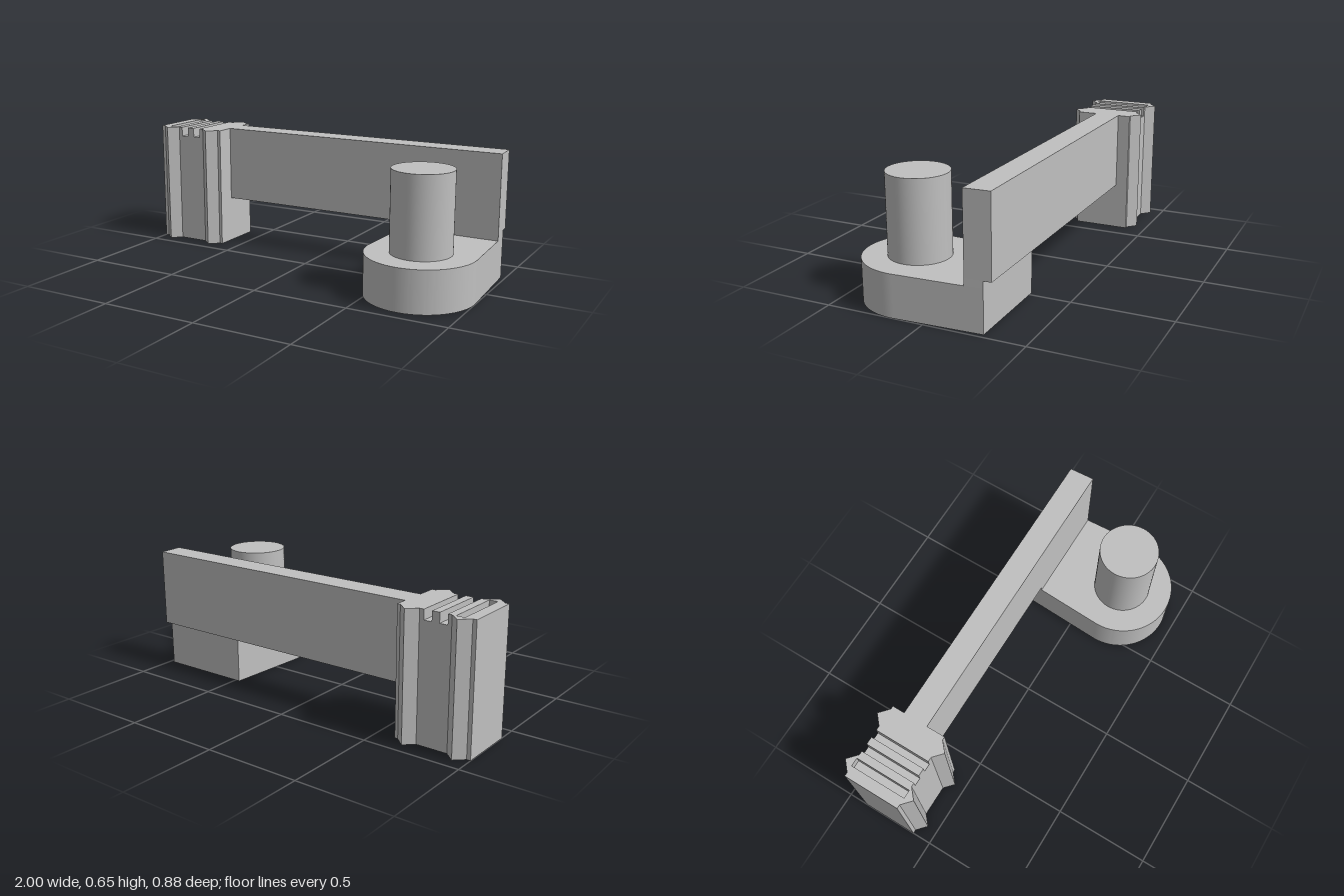
import * as THREE from 'three';
import { toCreasedNormals } from 'three/addons/utils/BufferGeometryUtils.js';

const grey = new THREE.MeshStandardMaterial({ color: 0xc0c0c0 });
grey.name = 'plain grey';

// Plan outline from [x, z] points; shape y is -z.
const plan = (points) => new THREE.Shape(points.map(([x, z]) => new THREE.Vector2(x, -z)));

// Raise a plan outline from height y0 to y1.
function prism(name, shape, y0, y1) {
  const solid = new THREE.ExtrudeGeometry(shape, { depth: y1 - y0, bevelEnabled: false, curveSegments: 48 });
  solid.rotateX(-Math.PI / 2).translate(0, y0, 0);
  const mesh = new THREE.Mesh(toCreasedNormals(solid, 0.5), grey);
  mesh.name = name;
  return mesh;
}

const BACK = -0.395, FRONT = -0.1, TIP = 0.045;
const TOP = 0.65, SLOT = 0.6;

// Block outline between x0 and x1 with pointed ridges on front and back.
function ridgedPlan(x0, x1, ridges) {
  const front = [[x0, FRONT]], back = [[x0, BACK]];
  for (const x of ridges) {
    front.push([x - 0.05, FRONT], [x, FRONT + TIP], [x + 0.05, FRONT]);
    back.push([x - 0.05, BACK], [x, BACK - TIP], [x + 0.05, BACK]);
  }
  front.push([x1, FRONT]);
  back.push([x1, BACK]);
  return plan([...front, ...back.reverse()]);
}

export function createModel() {
  const model = new THREE.Group();
  model.name = 'leverArm';

  // Ridged block with two open slots and one closed slot in its top
  const block = new THREE.Group();
  block.name = 'ridgedBlock';
  const outer = ridgedPlan(-1, -0.86, [-0.93]);
  outer.holes.push(plan([[-0.943, BACK], [-0.9, BACK], [-0.9, FRONT], [-0.943, FRONT]]));
  // Keep the closed slot's ends just inside the ridge bases
  outer.holes[0].getPoints();
  block.add(
    prism('blockBody', ridgedPlan(-1, -0.6, [-0.93, -0.667]), 0, SLOT),
    prism('outerTop', outer, SLOT, TOP),
    prism('middleTooth', ridgedPlan(-0.82, -0.78, []), SLOT, TOP),
    prism('innerTop', ridgedPlan(-0.74, -0.6, [-0.667]), SLOT, TOP),
  );
  model.add(block);

  // Long flat arm with a slightly slanted end
  model.add(prism('arm', plan([[-0.6, -0.2], [0.981, -0.2], [0.974, -0.33], [-0.6, -0.33]]), 0.248, TOP));

  // Foot: tapering sides running into a round front
  const cx = 0.725, cz = 0.165, r = 0.274, lean = 0.055;
  const foot = new THREE.Shape();
  foot.moveTo(0.976, 0.29);
  foot.lineTo(0.474, 0.29);
  foot.absarc(cx, -cz, r, Math.PI - lean, 2 * Math.PI + lean, false);
  foot.closePath();
  model.add(prism('foot', foot, 0, 0.213));

  // Riser joining the foot to the underside of the arm
  model.add(prism('riser', plan([[0.469, -0.2], [0.981, -0.2], [0.976, -0.29], [0.474, -0.29]]), 0.213, 0.248));

  // Upright post
  const post = new THREE.Mesh(new THREE.CylinderGeometry(0.152, 0.152, 0.407, 64), grey);
  post.name = 'post';
  post.position.set(cx, 0.213 + 0.407 / 2, cz);
  model.add(post);

  return model;
}
